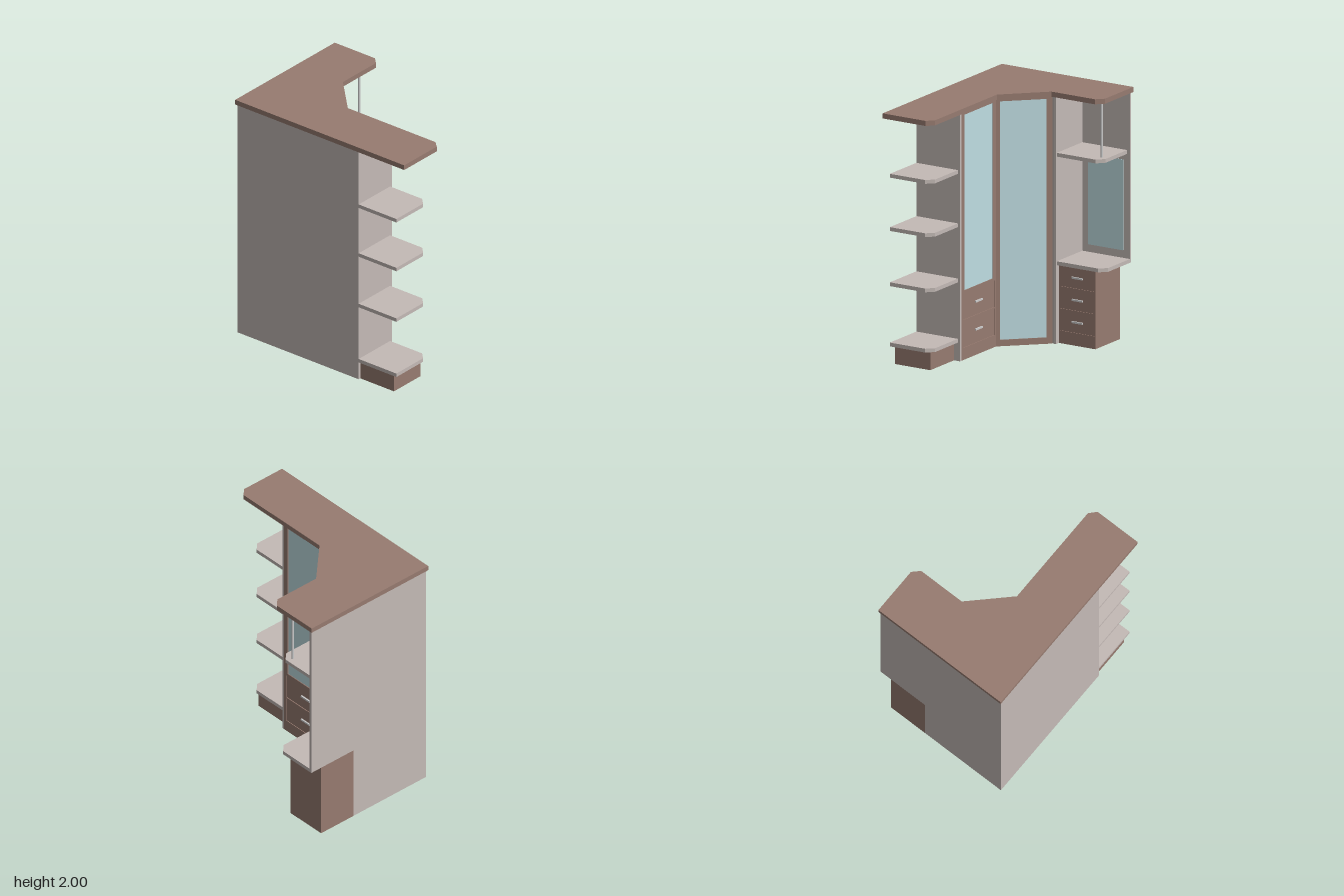
import * as THREE from 'three';

const mat = (color) => new THREE.MeshStandardMaterial({ color });

export function createModel() {
  const root = new THREE.Group();
  root.name = 'cornerWardrobe';
  const panel = mat(0xc4bab6), wood = mat(0x977b70), mirror = mat(0xbfdde2), metal = mat(0xcccccc);

  const add = (parent, name, geometry, material) => {
    const mesh = new THREE.Mesh(geometry, material);
    mesh.name = name;
    parent.add(mesh);
    return mesh;
  };

  // Box given by its minimum and maximum corners
  const box = (parent, name, material, x0, x1, y0, y1, z0, z1) => {
    const mesh = add(parent, name, new THREE.BoxGeometry(x1 - x0, y1 - y0, z1 - z0), material);
    mesh.position.set((x0 + x1) / 2, (y0 + y1) / 2, (z0 + z1) / 2);
    return mesh;
  };

  // Floor-plan outline of [x, z] points raised from y0 to y1
  const slab = (name, material, plan, y0, y1) => {
    const shape = new THREE.Shape(plan.map(([x, z]) => new THREE.Vector2(x, -z)));
    const geometry = new THREE.ExtrudeGeometry(shape, { depth: y1 - y0, bevelEnabled: false });
    geometry.rotateX(-Math.PI / 2);
    add(root, name, geometry, material).position.y = y0;
  };

  // Framed front: openings [x0, x1, y0, y1, isDrawer] hold recessed mirrors or drawers
  const framedFront = (name, x, z, angle, width, height, openings) => {
    const group = new THREE.Group();
    group.name = name;
    group.position.set(x, 0, z);
    group.rotation.y = angle;
    root.add(group);
    const rect = (P, x0, x1, y0, y1) => new P([[x0, y0], [x1, y0], [x1, y1], [x0, y1]]
      .map(([a, b]) => new THREE.Vector2(a, b)));
    const shape = rect(THREE.Shape, 0, width, 0, height);
    shape.holes = openings.map(([x0, x1, y0, y1]) => rect(THREE.Path, x0, x1, y0, y1));
    const geometry = new THREE.ExtrudeGeometry(shape, { depth: 0.02, bevelEnabled: false });
    add(group, 'frame', geometry.translate(0, 0, -0.02), wood);
    for (const [x0, x1, y0, y1, isDrawer] of openings) {
      box(group, isDrawer ? 'drawerFront' : 'mirror', isDrawer ? wood : mirror,
        x0, x1, y0, y1, -0.018, -0.006);
      if (!isDrawer) continue;
      const cx = (x0 + x1) / 2, cy = (y0 + y1) / 2;
      box(group, 'handle', metal, cx - 0.048, cx + 0.048, cy - 0.007, cy + 0.007, -0.007, 0.006);
    }
  };

  // Carcass with back, side panels and corner
  slab('carcass', panel, [
    [-0.815, 0.58], [0.375, 0.58], [0.375, 0.185], [0.355, 0.185], [0.355, 0.2], [-0.133, 0.2],
    [-0.443, -0.12], [-0.43, -0.14], [-0.43, -0.16], [-0.815, -0.16],
  ], 0, 1.96);

  // L-shaped top with clipped corners
  slab('top', wood, [
    [-0.83, -0.6], [-0.435, -0.6], [-0.38, -0.545], [-0.38, -0.15], [-0.085, 0.15],
    [0.775, 0.15], [0.83, 0.2], [0.83, 0.59], [-0.83, 0.59],
  ], 1.96, 2);

  // Doors: straight wing and diagonal corner
  framedFront('straightDoor', 0.355, 0.185, Math.PI, 0.48, 1.96, [
    [0.04, 0.44, 0.545, 1.93, false],
    [0.025, 0.46, 0.315, 0.525, true],
    [0.025, 0.46, 0.095, 0.305, true],
  ]);
  framedFront('cornerDoor', -0.125, 0.185, Math.atan2(0.315, -0.305), 0.438, 1.96, [
    [0.03, 0.39, 0.05, 1.93, false],
  ]);

  // Chest of three drawers on the short wing
  box(root, 'drawerChest', wood, -0.815, -0.488, 0, 0.62, -0.49, -0.16);
  framedFront('chestFront', -0.47, -0.16, Math.PI / 2, 0.33, 0.62, [0.1, 0.275, 0.45]
    .map((y) => [0.008, 0.322, y, y + 0.165, true]));

  // Dressing niche: wall, mirror, shelves and pole
  box(root, 'nicheWall', panel, -0.815, -0.797, 0.62, 1.96, -0.59, -0.16);
  box(root, 'nicheMirror', mirror, -0.8, -0.793, 0.71, 1.425, -0.53, -0.215);
  for (const [y, z] of [[0.62, -0.59], [1.475, -0.565]]) {
    slab('nicheShelf', panel, [
      [-0.8, -0.16], [-0.44, -0.16], [-0.44, z + 0.055], [-0.495, z], [-0.8, z],
    ], y, y + 0.03);
  }
  add(root, 'pole', new THREE.CylinderGeometry(0.009, 0.009, 0.46, 16), metal)
    .position.set(-0.52, 1.733, -0.515);

  // Open end shelves over a plinth
  for (const y of [0.145, 0.62, 1.055, 1.475]) {
    slab('endShelf', panel, [
      [0.375, 0.58], [0.745, 0.58], [0.745, 0.26], [0.69, 0.205], [0.375, 0.205],
    ], y, y + 0.03);
  }
  box(root, 'plinth', wood, 0.375, 0.705, 0, 0.145, 0.24, 0.56);

  return root;
}
